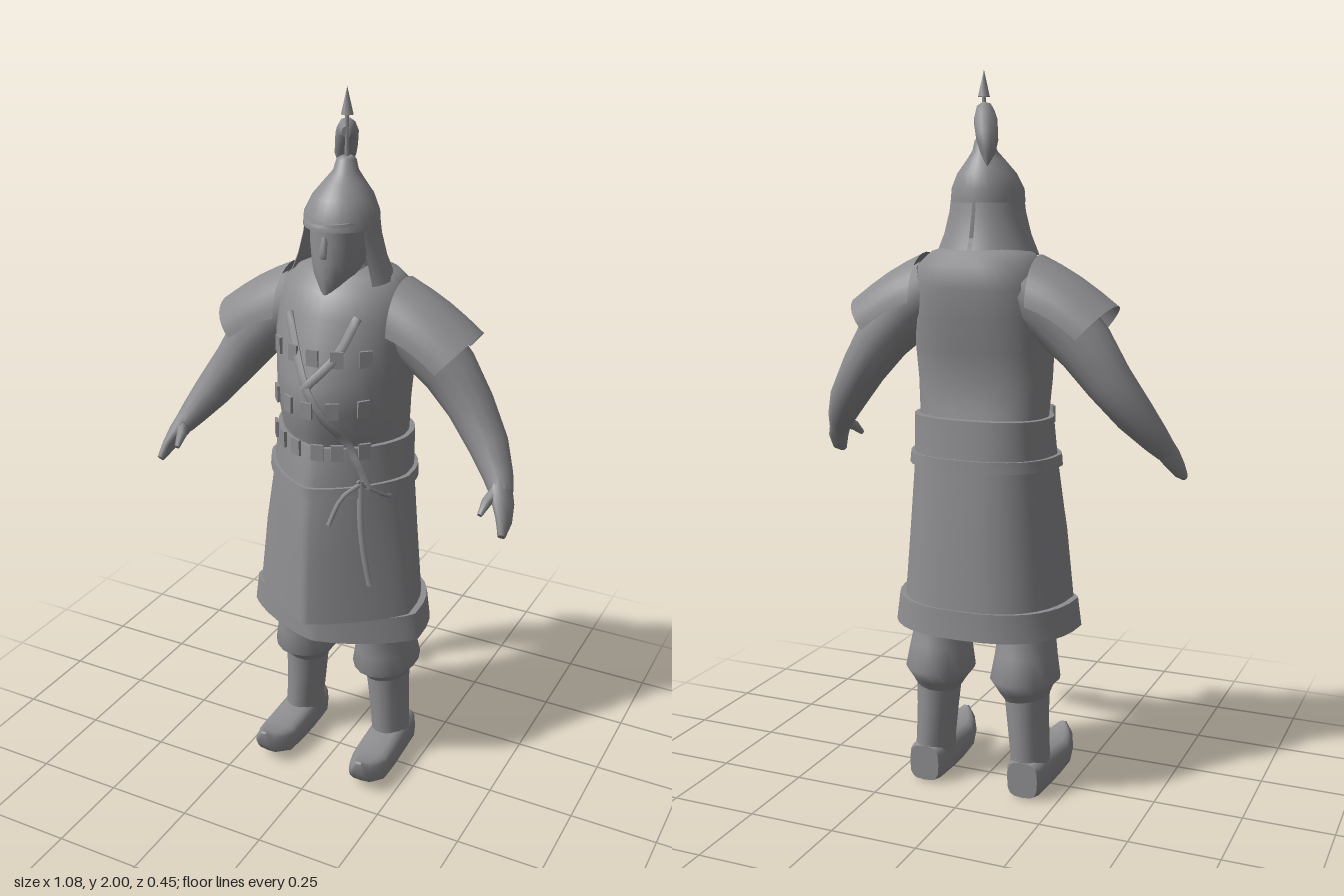
import * as THREE from 'three';

const V = (x, y, z) => new THREE.Vector3(x, y, z);
const steel = new THREE.MeshStandardMaterial({ color: 0x8e8e91, side: THREE.DoubleSide });
steel.name = 'plain grey';

// Skin over a list of closed rings, with flat end caps
function loft(rings) {
  const n = rings[0].length, pos = [], idx = [];
  rings.forEach(r => r.forEach(p => pos.push(p.x, p.y, p.z)));
  for (let j = 0; j < rings.length - 1; j++) {
    for (let i = 0; i < n; i++) {
      const a = j * n + i, b = j * n + (i + 1) % n;
      idx.push(a, b, a + n, b, b + n, a + n);
    }
  }
  [rings[0], rings[rings.length - 1]].forEach((r, end) => {
    const base = pos.length / 3;
    const c = r.reduce((s, p) => s.add(p), V(0, 0, 0)).divideScalar(n);
    r.concat([c]).forEach(p => pos.push(p.x, p.y, p.z));
    for (let i = 0; i < n; i++) {
      const a = base + i, b = base + (i + 1) % n;
      if (end) idx.push(a, b, base + n); else idx.push(b, a, base + n);
    }
  });
  const g = new THREE.BufferGeometry();
  g.setAttribute('position', new THREE.Float32BufferAttribute(pos, 3));
  g.setIndex(idx);
  g.computeVertexNormals();
  return g;
}

// Level ring: [y, half width, front z, back z, z of widest point, front roundness]
function section([y, rx, zf, zb, mid, nf], n = 36, nb = 2.5) {
  return Array.from({ length: n }, (_, i) => {
    const a = i / n * Math.PI * 2, s = Math.sin(a), c = Math.cos(a), e = 2 / (c >= 0 ? nf : nb);
    return V(rx * Math.sign(s) * Math.abs(s) ** e, y, mid + Math.abs(c) ** e * (c >= 0 ? zf - mid : zb - mid));
  });
}
const body = (rows, n, nb) => loft(rows.map(r => section(r, n, nb)));
const crisp = rows => rows.flatMap(r => [r, r, r]).slice(1, -1);

// Tapered limb: rows of [x, y, z, radius along ref, radius across]
function limb(rows, ref = V(0, 0, 1), n = 14, e = 1) {
  const p = rows.map(r => V(r[0], r[1], r[2]));
  return loft(rows.map((r, j) => {
    const d = p[Math.min(j + 1, p.length - 1)].clone().sub(p[Math.max(j - 1, 0)]).normalize();
    const v = d.clone().cross(ref).normalize(), u = v.clone().cross(d);
    return Array.from({ length: n }, (_, i) => {
      const a = i / n * Math.PI * 2, c = Math.cos(a), s = Math.sin(a);
      return p[j].clone()
        .addScaledVector(u, r[3] * Math.sign(c) * Math.abs(c) ** e)
        .addScaledVector(v, r[4] * Math.sign(s) * Math.abs(s) ** e);
    });
  }));
}

const TORSO = [
  [1.04, 0.18, 0.14, -0.16, -0.03, 1.6], [1.10, 0.185, 0.155, -0.15, -0.03, 1.65],
  [1.18, 0.19, 0.188, -0.14, -0.03, 1.65], [1.26, 0.195, 0.178, -0.155, -0.03, 1.65],
  [1.35, 0.198, 0.142, -0.172, -0.03, 1.8], [1.43, 0.193, 0.12, -0.182, -0.04, 1.8],
  [1.49, 0.178, 0.085, -0.178, -0.04, 1.8], [1.525, 0.14, 0.05, -0.155, -0.04, 1.8],
  [1.545, 0.08, 0.02, -0.1, -0.04, 1.8],
];
const SKIRT = [
  [0.56, 0.24, 0.228, -0.215, 0.04, 1.2], [0.76, 0.222, 0.215, -0.203, 0.03, 1.25],
  [0.95, 0.203, 0.198, -0.187, 0.0, 1.4], [1.08, 0.197, 0.163, -0.178, -0.03, 1.65],
];
// Depth of the clothing's front surface at (x, y)
function frontZ(x, y) {
  const rows = y > 1.08 ? TORSO : SKIRT;
  let k = 0;
  while (k < rows.length - 2 && rows[k + 1][0] < y) k++;
  const t = (y - rows[k][0]) / (rows[k + 1][0] - rows[k][0]);
  const [, rx, zf, , mid, nf] = rows[k].map((v, i) => THREE.MathUtils.lerp(v, rows[k + 1][i], t));
  return mid + (zf - mid) * Math.max(0, 1 - Math.abs(x / rx) ** nf) ** (1 / nf);
}

export function createModel() {
  const model = new THREE.Group();
  const add = (name, geo) => {
    const m = new THREE.Mesh(geo, steel);
    m.name = name;
    model.add(m);
    return m;
  };

  // Coat, skirt, hem and belt
  add('torso', body(TORSO));
  add('skirt', body(SKIRT));
  add('hem', body(crisp([[0.48, 0.268, 0.18, -0.224, 0.03, 1.35], [0.56, 0.257, 0.178, -0.22, 0.03, 1.35]])));
  add('belt', body(crisp([[0.942, 0.217, 0.206, -0.195, 0, 1.4], [0.974, 0.214, 0.202, -0.193, 0, 1.4]])));

  // Rows of small armour plates
  [1.335, 1.2, 1.073].forEach((y, row) => {
    const xs = row < 2 ? [-0.13, -0.065, 0.0, 0.065, 0.13] : [-0.16, -0.11, -0.05, 0.02, 0.07, 0.13];
    xs.forEach(x => {
      const p = add('armourPlate', new THREE.BoxGeometry(0.034, 0.046, 0.008));
      p.position.set(x, y, frontZ(x, y) + 0.011);
      const slope = (frontZ(x + 0.015, y) - frontZ(x - 0.015, y)) / 0.03;
      p.rotation.y = -Math.atan(slope);
    });
  });

  // Straps and hanging cords
  const cord = (name, pts, w) => {
    const c = new THREE.CatmullRomCurve3(pts.map(([x, y]) => V(x, y, 0)));
    const rows = c.getPoints(14).map(p => [p.x, p.y, frontZ(p.x, p.y) + 0.009, 0.005, w]);
    add(name, limb(rows, V(0, 0, 1), 6));
  };
  cord('longStrap', [[-0.1, 1.43], [-0.05, 1.33], [0.01, 1.23], [0.08, 1.11], [0.125, 1.02], [0.14, 0.965]], 0.013);
  cord('shortStrap', [[0.1, 1.44], [0.06, 1.34], [-0.015, 1.25]], 0.013);
  cord('longCord', [[0.125, 0.99], [0.13, 0.87], [0.14, 0.78], [0.157, 0.675]], 0.009);
  cord('shortCord', [[0.13, 0.985], [0.09, 0.95], [0.06, 0.87]], 0.007);
  cord('sideCord', [[0.12, 0.99], [0.16, 0.95], [0.185, 0.93]], 0.007);

  for (const s of [1, -1]) {
    // Sleeve and forearm
    add('arm', limb([
      [0.13 * s, 1.42, -0.055, 0.095, 0.09], [0.21 * s, 1.37, -0.055, 0.09, 0.09],
      [0.3 * s, 1.28, -0.058, 0.076, 0.078], [0.365 * s, 1.19, -0.055, 0.067, 0.065],
      [0.43 * s, 1.1, -0.028, 0.058, 0.054], [0.475 * s, 1.035, 0.01, 0.044, 0.04],
      [0.497 * s, 1.0, 0.037, 0.036, 0.03],
    ]));
    // Hand with grouped fingers and a thumb
    add('hand', limb([
      [0.487 * s, 1.02, 0.025, 0.036, 0.031], [0.508 * s, 0.98, 0.053, 0.042, 0.026],
      [0.523 * s, 0.945, 0.082, 0.034, 0.018], [0.531 * s, 0.915, 0.115, 0.013, 0.01],
    ], V(0, 0, 1), 10));
    add('thumb', limb([
      [0.49 * s, 1.01, 0.045, 0.02, 0.02], [0.474 * s, 0.99, 0.085, 0.015, 0.014],
      [0.469 * s, 0.965, 0.118, 0.008, 0.007],
    ], V(0, 0, 1), 8));

    // Arched shoulder guard, swept from the neck out along the arm
    const guard = new THREE.PlaneGeometry(1, 1, 16, 4);
    const gp = guard.attributes.position;
    for (let i = 0; i < gp.count; i++) {
      const t = gp.getX(i) * Math.PI, k = gp.getY(i) + 0.5, drop = 1 - Math.cos(t);
      const bulge = Math.sin(k * Math.PI) * 0.01;
      gp.setXYZ(i,
        s * (0.168 + 0.212 * k - drop * 0.07 * k),
        1.52 - 0.13 * k + bulge - drop * (0.13 - 0.05 * k),
        -0.05 + Math.sin(t) * 0.122);
    }
    guard.computeVertexNormals();
    add('shoulderGuard', guard);

    // Baggy trouser leg, boot shaft and upturned boot
    add('trouserLeg', limb([
      [0.125 * s, 0.55, -0.025, 0.1, 0.073], [0.127 * s, 0.48, -0.03, 0.1, 0.076],
      [0.131 * s, 0.4, -0.045, 0.103, 0.087], [0.131 * s, 0.335, -0.052, 0.117, 0.097],
      [0.133 * s, 0.31, -0.052, 0.092, 0.078], [0.136 * s, 0.28, -0.05, 0.072, 0.062],
    ], V(0, 0, 1), 18));
    add('bootShaft', limb([
      [0.135 * s, 0.33, -0.05, 0.076, 0.066], [0.14 * s, 0.22, -0.053, 0.075, 0.057],
      [0.147 * s, 0.12, -0.053, 0.075, 0.053], [0.152 * s, 0.03, -0.053, 0.074, 0.056],
    ], V(0, 0, 1), 18));
    add('bootFoot', limb([
      [0.152 * s, 0.056, -0.128, 0.052, 0.045], [0.152 * s, 0.056, -0.11, 0.055, 0.053],
      [0.152 * s, 0.055, -0.03, 0.055, 0.057], [0.154 * s, 0.05, 0.05, 0.05, 0.058],
      [0.156 * s, 0.05, 0.11, 0.044, 0.057], [0.158 * s, 0.066, 0.155, 0.036, 0.046],
      [0.16 * s, 0.088, 0.182, 0.022, 0.03], [0.16 * s, 0.112, 0.193, 0.004, 0.008],
    ], V(0, 1, 0), 16, 0.62));

    // Flared neck flap with a slit at the back
    const flap = new THREE.LatheGeometry(
      [[0.142, 1.515], [0.12, 1.57], [0.105, 1.63], [0.099, 1.68]].map(([r, y]) => new THREE.Vector2(r, y)),
      12, s > 0 ? 1.02 : Math.PI + 0.05, Math.PI - 1.07);
    const f = add('neckFlap', flap);
    f.position.z = -0.015;
    f.scale.z = 0.92;
  }

  // Neck, head and nose
  add('collar', body([[1.465, 0.1, 0.1, -0.1, -0.02, 1.7], [1.52, 0.085, 0.06, -0.09, -0.02, 1.7],
    [1.56, 0.06, 0.035, -0.08, -0.02, 1.7]], 20));
  add('head', body([
    [1.47, 0.012, 0.085, 0.02, 0.04, 2], [1.505, 0.042, 0.092, -0.06, 0, 2], [1.535, 0.06, 0.095, -0.075, 0, 2],
    [1.57, 0.069, 0.094, -0.08, 0, 2], [1.62, 0.075, 0.092, -0.09, 0, 2], [1.68, 0.075, 0.088, -0.09, 0, 2],
  ], 24, 2));
  add('nose', limb([[0, 1.64, 0.086, 0.007, 0.009], [0, 1.6, 0.098, 0.009, 0.012], [0, 1.585, 0.094, 0.006, 0.009]], V(0, 0, 1), 8));

  // Helmet dome, visor, spike and plume
  add('helmet', body([
    [1.655, 0.1, 0.096, -0.116, -0.01, 2], [1.69, 0.098, 0.092, -0.116, -0.012, 2],
    [1.73, 0.08, 0.068, -0.105, -0.018, 2], [1.765, 0.052, 0.034, -0.085, -0.025, 2],
    [1.79, 0.033, 0.003, -0.07, -0.034, 2], [1.818, 0.026, -0.01, -0.063, -0.037, 2],
    [1.825, 0.016, -0.022, -0.054, -0.038, 2],
  ], 28, 2));
  add('visor', body([[1.672, 0.085, 0.12, -0.02, 0, 2], [1.68, 0.082, 0.117, -0.02, 0, 2]], 24, 2));
  add('spikeRod', new THREE.CylinderGeometry(0.005, 0.007, 0.13, 8)).position.set(0, 1.875, -0.04);
  add('spikeTip', new THREE.ConeGeometry(0.017, 0.07, 8)).position.set(0, 1.965, -0.04);
  add('plume', limb([
    [0, 1.885, -0.035, 0.012, 0.016], [-0.015, 1.888, -0.068, 0.026, 0.03],
    [-0.03, 1.862, -0.098, 0.032, 0.04], [-0.042, 1.822, -0.118, 0.03, 0.038],
    [-0.05, 1.785, -0.132, 0.02, 0.024], [-0.052, 1.752, -0.14, 0.003, 0.003],
  ], V(1, 0, 0), 8));

  return model;
}
